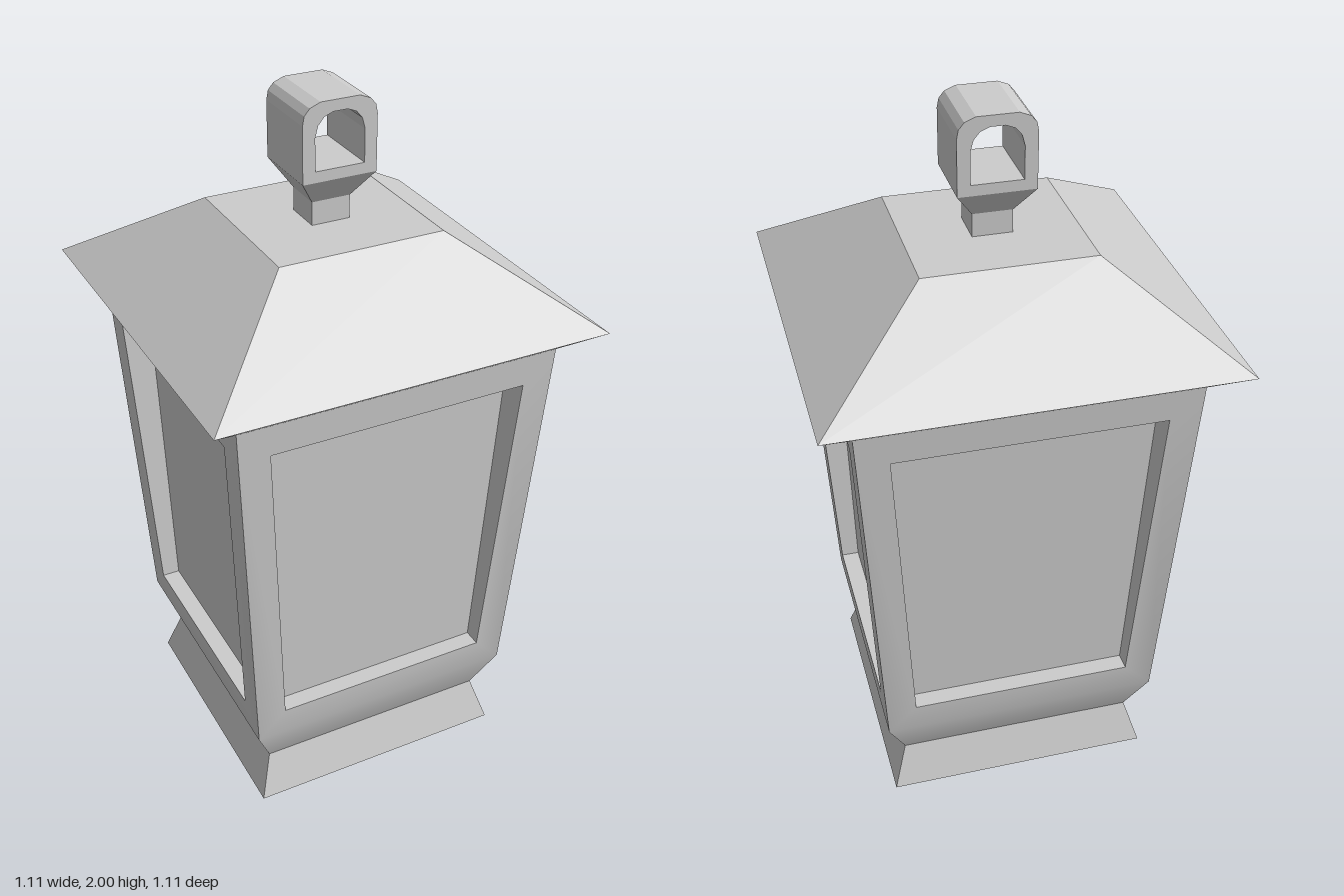
import * as THREE from 'three';

const grey = new THREE.MeshStandardMaterial({ color: 0xcccccc });
grey.name = 'grey metal';

// Mesh from points and quads; flat unless smooth is set
function quadMesh(name, points, quads, smooth = false) {
  let g = new THREE.BufferGeometry();
  g.setAttribute('position', new THREE.Float32BufferAttribute(points.flat(), 3));
  g.setIndex(quads.flatMap(([a, b, c, d]) => [a, b, c, a, c, d]));
  if (!smooth) g = g.toNonIndexed();
  g.computeVertexNormals();
  const mesh = new THREE.Mesh(g, grey);
  mesh.name = name;
  return mesh;
}

// Square turned solid from a [halfWidth, y] profile, sharp edged
function squareLathe(name, profile) {
  const pos = [];
  for (let i = 0; i < profile.length - 1; i++) {
    const [r0, y0] = profile[i], [r1, y1] = profile[i + 1];
    const a = [-r0, y0, r0], b = [r0, y0, r0], c = [r1, y1, r1], d = [-r1, y1, r1];
    const tris = [];
    if (r0 > 0) tris.push(a, b, c);
    if (r1 > 0) tris.push(a, c, d);
    for (let k = 0; k < 4; k++) {
      for (const p of tris) {
        const v = new THREE.Vector3(...p).applyAxisAngle(new THREE.Vector3(0, 1, 0), k * Math.PI / 2);
        pos.push(v.x, v.y, v.z);
      }
    }
  }
  const g = new THREE.BufferGeometry();
  g.setAttribute('position', new THREE.Float32BufferAttribute(pos, 3));
  g.computeVertexNormals();
  const mesh = new THREE.Mesh(g, grey);
  mesh.name = name;
  return mesh;
}

// One wall of the body: framed opening, sunken panel and lower bevel
function wall() {
  const side = new THREE.Group();
  side.name = 'wall';
  const y0 = 0.26, y1 = 1.355;
  const half = y => 0.40 + 0.06 * (y - y0) / (y1 - y0);
  const rect = (xb, yb, zb, xt, yt, zt) => [[-xb, yb, zb], [xb, yb, zb], [xt, yt, zt], [-xt, yt, zt]];
  const outer = rect(0.40, y0, 0.40, 0.46, y1, 0.46);
  const opening = rect(0.318, 0.345, half(0.345), 0.368, 1.265, half(1.265));
  const panel = rect(0.318, 0.345, 0.353, 0.368, 1.265, 0.371);
  const ring = [0, 1, 2, 3].map(i => [i, (i + 1) % 4, (i + 1) % 4 + 4, i + 4]);
  const foot = [[-0.345, 0.13, 0.345], [0.345, 0.13, 0.345]];
  side.add(
    quadMesh('wallFrame', [...outer, ...opening, ...foot], [...ring, [8, 9, 1, 0]], true),
    quadMesh('openingEdges', [...opening, ...panel], ring),
    quadMesh('sunkenPanel', panel, [[0, 1, 2, 3]])
  );
  return side;
}

// Hanging loop with an arched hole through it
function hangingLoop() {
  const outline = [[-0.105, 1.79], [0.105, 1.79], [0.105, 1.945], [0.1, 1.97], [0.085, 1.988], [0.055, 2],
    [-0.055, 2], [-0.085, 1.988], [-0.1, 1.97], [-0.105, 1.945]];
  const arch = [[-0.07, 1.82], [0.07, 1.82], [0.07, 1.91], [0.062, 1.94], [0.045, 1.96], [0.02, 1.97],
    [-0.02, 1.97], [-0.045, 1.96], [-0.062, 1.94], [-0.07, 1.91]];
  const toVectors = pts => pts.map(p => new THREE.Vector2(...p));
  const shape = new THREE.Shape(toVectors(outline));
  shape.holes.push(new THREE.Path(toVectors(arch)));
  const g = new THREE.ExtrudeGeometry(shape, { depth: 0.21, bevelEnabled: false });
  g.translate(0, 0, -0.105);
  const mesh = new THREE.Mesh(g, grey);
  mesh.name = 'hangingLoop';
  return mesh;
}

export function createModel() {
  const lantern = new THREE.Group();
  lantern.name = 'lantern';

  // Flared base with a hollow underside
  lantern.add(squareLathe('base', [[0, 0.04], [0.345, 0.04], [0.345, 0], [0.385, 0], [0.345, 0.13]]));

  // Four matching walls
  const body = new THREE.Group();
  body.name = 'body';
  for (let k = 0; k < 4; k++) {
    const side = wall();
    side.rotation.y = k * Math.PI / 2;
    body.add(side);
  }
  lantern.add(body);

  // Roof with overhanging eaves
  lantern.add(squareLathe('roof', [[0.46, 1.355], [0.555, 1.425], [0.235, 1.65], [0, 1.65]]));

  // Neck and loop on top
  lantern.add(squareLathe('neck', [[0.055, 1.65], [0.055, 1.715], [0.105, 1.79]]));
  lantern.add(hangingLoop());
  return lantern;
}
